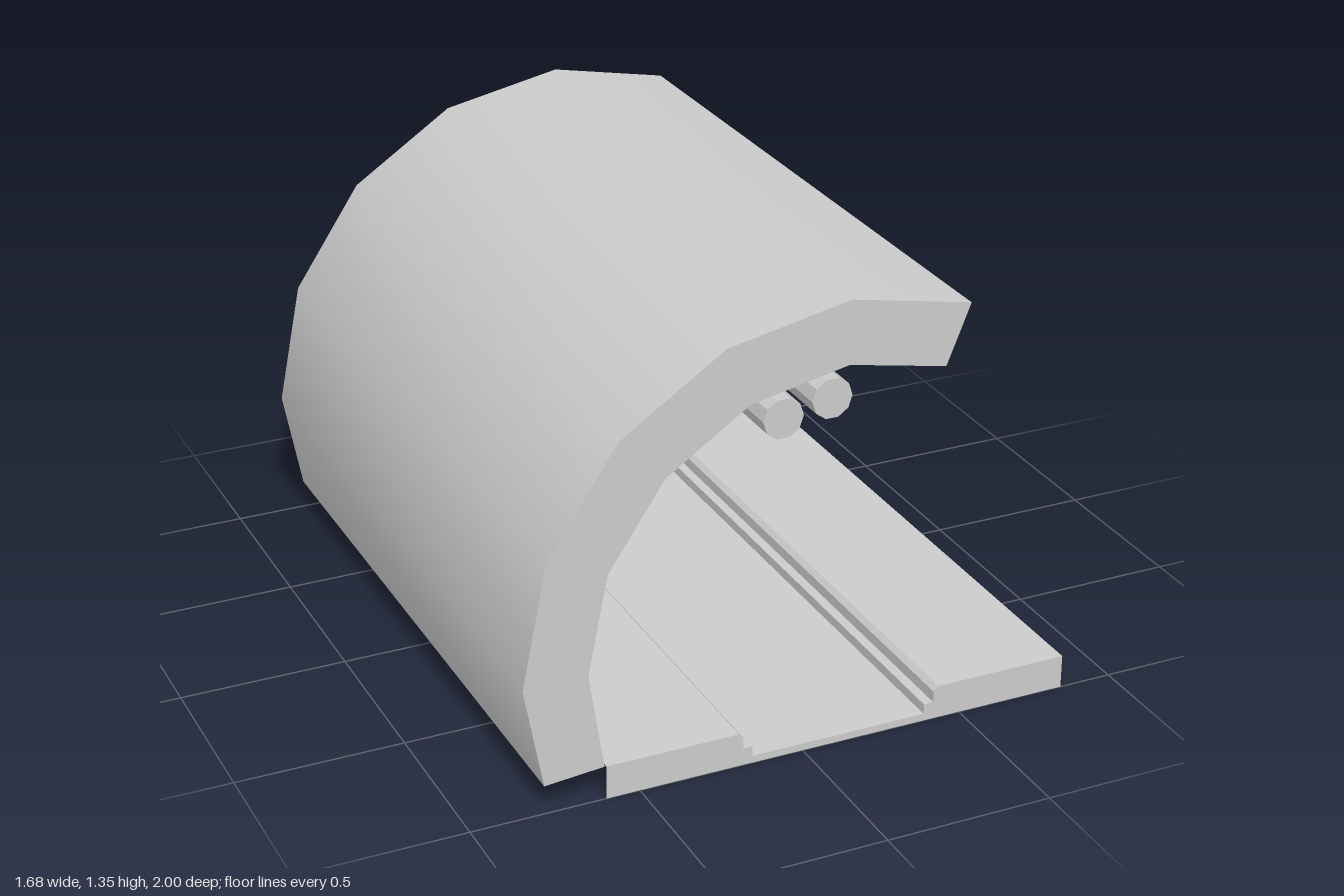
import * as THREE from 'three';
import { mergeGeometries, toCreasedNormals } from 'three/addons/utils/BufferGeometryUtils.js';

const material = new THREE.MeshStandardMaterial({ color: 0xcccccc, side: THREE.DoubleSide });

// Skin swept along z from an open outline; the outer side lies left of its direction
function sweep(points, zBack, zFront) {
  const pos = [];
  for (let i = 0; i < points.length - 1; i++) {
    const [px, py] = points[i], [qx, qy] = points[i + 1];
    const a = [px, py, zFront], b = [qx, qy, zFront], c = [qx, qy, zBack], d = [px, py, zBack];
    pos.push(...a, ...b, ...c, ...a, ...c, ...d);
  }
  const geo = new THREE.BufferGeometry();
  geo.setAttribute('position', new THREE.Float32BufferAttribute(pos, 3));
  return geo;
}

// Flat end face at a given z
function cap(points, z, facesBack = false, hole = null) {
  const toVectors = (list) => list.map(([x, y]) => new THREE.Vector2(x, y));
  const shape = new THREE.Shape(toVectors(points));
  if (hole) shape.holes.push(new THREE.Path(toVectors(hole)));
  const geo = new THREE.ShapeGeometry(shape);
  if (facesBack) geo.index.array.reverse();
  geo.translate(0, 0, z);
  const flat = geo.toNonIndexed();
  flat.deleteAttribute('uv');
  flat.deleteAttribute('normal');
  return flat;
}

function part(name, geometries) {
  const mesh = new THREE.Mesh(toCreasedNormals(mergeGeometries(geometries), 0.5), material);
  mesh.name = name;
  return mesh;
}

// Closed clockwise ten-sided ring
function ring(cx, cy, r) {
  return Array.from({ length: 11 }, (_, i) => {
    const a = -i * Math.PI / 5;
    return [cx + r * Math.cos(a), cy + r * Math.sin(a)];
  });
}

export function createModel() {
  const model = new THREE.Group();
  model.name = 'tunnelSection';

  // Curved shell, open along its foot
  const outer = [[-0.783, 0.087], [-0.84, 0.395], [-0.767, 0.762], [-0.56, 1.073],
    [-0.25, 1.28], [0.115, 1.354], [0.48, 1.28]];
  const inner = [[0.41, 1.105], [0.115, 1.165], [-0.178, 1.105], [-0.425, 0.94],
    [-0.592, 0.69], [-0.65, 0.395], [-0.605, 0.103]];
  const shell = [...outer, ...inner];
  model.add(part('shell', [sweep(shell, -1, 1), cap(shell, 1), cap(shell, -1, true)]));

  // Floor with a stepped sunken channel and a front face
  const floor = [[-0.6, 0.102], [-0.2, 0.102], [-0.185, 0.087], [-0.185, 0.053], [-0.157, 0.053],
    [-0.157, 0.022], [0.385, 0.022], [0.385, 0.053], [0.415, 0.053], [0.415, 0.087],
    [0.43, 0.102], [0.838, 0.102]];
  model.add(part('floor', [sweep(floor, -1, 1), cap([...floor, [0.838, 0], [-0.6, 0]], 1)]));

  // Two ceiling pipes, each with two clamp bands
  for (const [x, y] of [[-0.08, 1.045], [0.065, 1.076]]) {
    const pipe = ring(x, y, 0.06), band = ring(x, y, 0.077);
    model.add(part('pipe', [sweep(pipe, -1, 1), cap(pipe.slice(0, 10), 1)]));
    for (const z of [0.4, -0.58]) {
      model.add(part('pipeBand', [sweep(band, z - 0.02, z + 0.02),
        cap(band.slice(0, 10), z + 0.02, false, pipe.slice(0, 10))]));
    }
  }
  return model;
}
